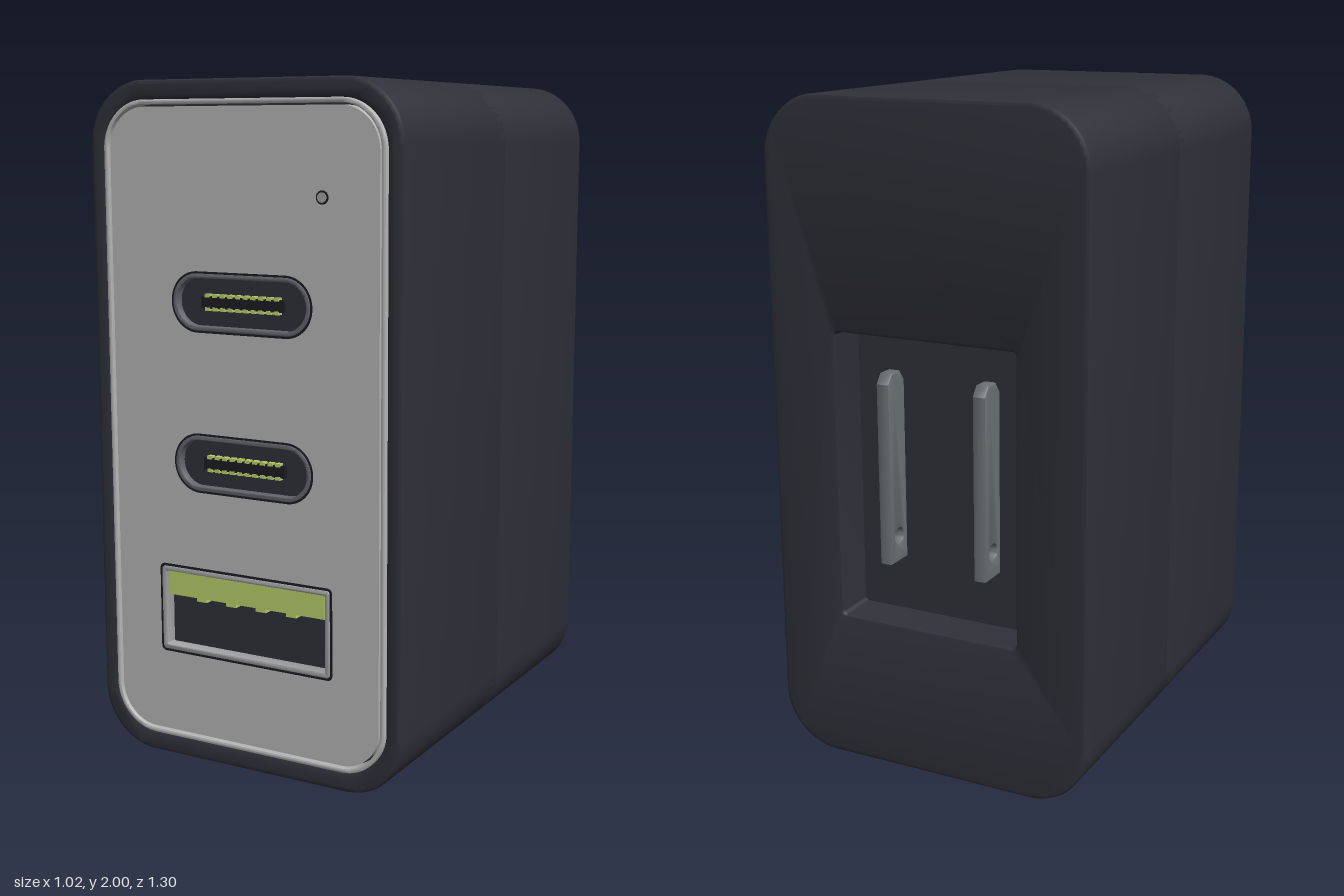
import * as THREE from 'three';
import { toCreasedNormals } from 'three/addons/utils/BufferGeometryUtils.js';

const mat = (name, color) => {
  const m = new THREE.MeshStandardMaterial({ color });
  m.name = name;
  return m;
};

// Rounded rectangle centred on (cx, cy)
function roundRect(w, h, r, cx = 0, cy = 0, Type = THREE.Shape) {
  const s = new Type(), x = w / 2 - r, y = h / 2 - r, q = Math.PI / 2;
  s.absarc(cx + x, cy + y, r, 0, q);
  s.absarc(cx - x, cy + y, r, q, 2 * q);
  s.absarc(cx - x, cy - y, r, 2 * q, 3 * q);
  s.absarc(cx + x, cy - y, r, 3 * q, 4 * q);
  s.closePath();
  return s;
}

// Extrude a shape between two z positions, keeping its outline size
function slab(shape, z0, z1, bevel = 0) {
  const g = new THREE.ExtrudeGeometry(shape, {
    depth: z1 - z0 - 2 * bevel,
    curveSegments: 10,
    bevelEnabled: bevel > 0,
    bevelThickness: bevel,
    bevelSize: bevel,
    bevelOffset: -bevel,
    bevelSegments: 2,
  });
  g.translate(0, 0, z0 + bevel);
  return toCreasedNormals(g, 0.6);
}

export function createModel() {
  const model = new THREE.Group();
  model.name = 'wallCharger';
  const shellMat = mat('charcoal shell', 0x2f3039);
  const panelMat = mat('silver panel', 0xb6b6b6);
  const rimMat = mat('port rim grey', 0x64656d);
  const frameMat = mat('frame grey', 0xa2a2a4);
  const greenMat = mat('lime contact', 0xb9d06a);
  const prongMat = mat('prong metal', 0x6c7072);
  const darkMat = mat('dark seam', 0x1c1c22);

  const add = (parent, name, geometry, material) => {
    const m = new THREE.Mesh(geometry, material);
    m.name = name;
    parent.add(m);
    return m;
  };
  const group = (name) => {
    const g = new THREE.Group();
    g.name = name;
    model.add(g);
    return g;
  };
  const box = (w, h, d, x, y, z) => new THREE.BoxGeometry(w, h, d).translate(x, y, z);
  // Flat frame: a rounded rectangle with an even border
  const ring = (w, h, r, t, cx, cy, z0, z1, bevel = 0) => {
    const s = roundRect(w, h, r, cx, cy);
    s.holes.push(roundRect(w - 2 * t, h - 2 * t, Math.max(r - t, 0.004), cx, cy, THREE.Path));
    return slab(s, z0, z1, bevel);
  };

  // Shell: open front sleeve and back block with the prong recess
  const W = 1.02, H = 2, R = 0.18;
  const pw = 0.92, ph = 1.885, pr = 0.14, py = 1.0025;
  const sleeve = roundRect(W, H, R, 0, 1);
  sleeve.holes.push(roundRect(pw, ph, pr, 0, py, THREE.Path));
  add(model, 'frontSleeve', slab(sleeve, -0.03, 0.645, 0.012), shellMat);
  const block = roundRect(W, H, R, 0, 1);
  block.holes.push(roundRect(0.58, 0.87, 0.012, 0, 0.895, THREE.Path));
  add(model, 'backShell', slab(block, -0.65, 0.03, 0.012), shellMat);
  add(model, 'recessFloor', box(0.62, 0.91, 0.03, 0, 0.895, -0.505), shellMat);

  // Front panel with openings for the ports
  const cPorts = [1.378, 0.91];
  const cw = 0.465, ch = 0.175, aw = 0.585, ah = 0.27, ay = 0.46;
  const panel = roundRect(pw - 0.04, ph - 0.04, pr - 0.02, 0, py);
  cPorts.forEach((y) => panel.holes.push(roundRect(cw, ch, ch / 2 - 0.001, 0, y, THREE.Path)));
  panel.holes.push(roundRect(aw, ah, 0.016, 0, ay, THREE.Path));
  add(model, 'frontPanel', slab(panel, 0.6, 0.645), panelMat);
  add(model, 'panelBacking', slab(roundRect(pw, ph, pr, 0, py), 0.57, 0.605), shellMat);
  add(model, 'panelRim', ring(pw, ph, pr, 0.014, 0, py, 0.605, 0.65, 0.004), panelMat);

  // Two small oval ports
  cPorts.forEach((y, i) => {
    const port = group(i ? 'lowerOvalPort' : 'upperOvalPort');
    const r = ch / 2 - 0.001;
    add(port, 'portSeam', ring(cw, ch, r, 0.006, 0, y, 0.6, 0.647), darkMat);
    add(port, 'portRim', ring(cw - 0.012, ch - 0.012, r - 0.006, 0.013, 0, y, 0.6, 0.65, 0.003), rimMat);
    add(port, 'portFloor', slab(roundRect(cw - 0.03, ch - 0.03, r - 0.015, 0, y), 0.6, 0.625), shellMat);
    add(port, 'tongue', box(0.27, 0.035, 0.02, 0, y, 0.63), darkMat);
    for (let k = 0; k < 10; k++)
      for (const side of [-1, 1])
        add(port, 'contact', box(0.016, 0.01, 0.022, (k - 4.5) * 0.0255, y + side * 0.019, 0.631), greenMat);
  });

  // Large rectangular port with its lime tongue
  const port = group('rectangularPort');
  add(port, 'portSeam', ring(aw, ah, 0.016, 0.007, 0, ay, 0.6, 0.647), darkMat);
  add(port, 'portFrame', ring(aw - 0.014, ah - 0.014, 0.012, 0.015, 0, ay, 0.6, 0.65, 0.003), frameMat);
  add(port, 'portFloor', box(0.545, 0.23, 0.01, 0, ay, 0.607), shellMat);
  add(port, 'tongue', box(0.53, 0.077, 0.035, 0, 0.5385, 0.622), greenMat);
  for (let k = 0; k < 4; k++)
    add(port, 'tongueContact', box(0.034, 0.012, 0.03, (k - 1.5) * 0.102, 0.495, 0.622), greenMat);

  // Indicator light
  const disc = (r, z) => new THREE.CylinderGeometry(r, r, 0.006, 20).rotateX(Math.PI / 2).translate(0.265, 1.68, z);
  add(model, 'indicatorRing', disc(0.019, 0.645), darkMat);
  add(model, 'indicatorLight', disc(0.014, 0.647), frameMat);

  // Folded prongs: blades with a tapered tip and a round hole, drawn sideways
  const blade = new THREE.Shape();
  [[-0.045, 0.63], [0.045, 0.63], [0.045, 1.18], [0.022, 1.21], [-0.022, 1.21], [-0.045, 1.18]]
    .forEach(([u, v], i) => (i ? blade.lineTo(u, v) : blade.moveTo(u, v)));
  blade.closePath();
  const hole = new THREE.Path();
  hole.absarc(0, 0.71, 0.024, 0, Math.PI * 2);
  blade.holes.push(hole);
  for (const side of [-1, 1]) {
    const g = slab(blade, -0.021, 0.021, 0.006).rotateY(Math.PI / 2);
    g.translate(side * 0.157, 0, -0.565);
    add(model, side > 0 ? 'leftProng' : 'rightProng', g, prongMat);
  }
  return model;
}
